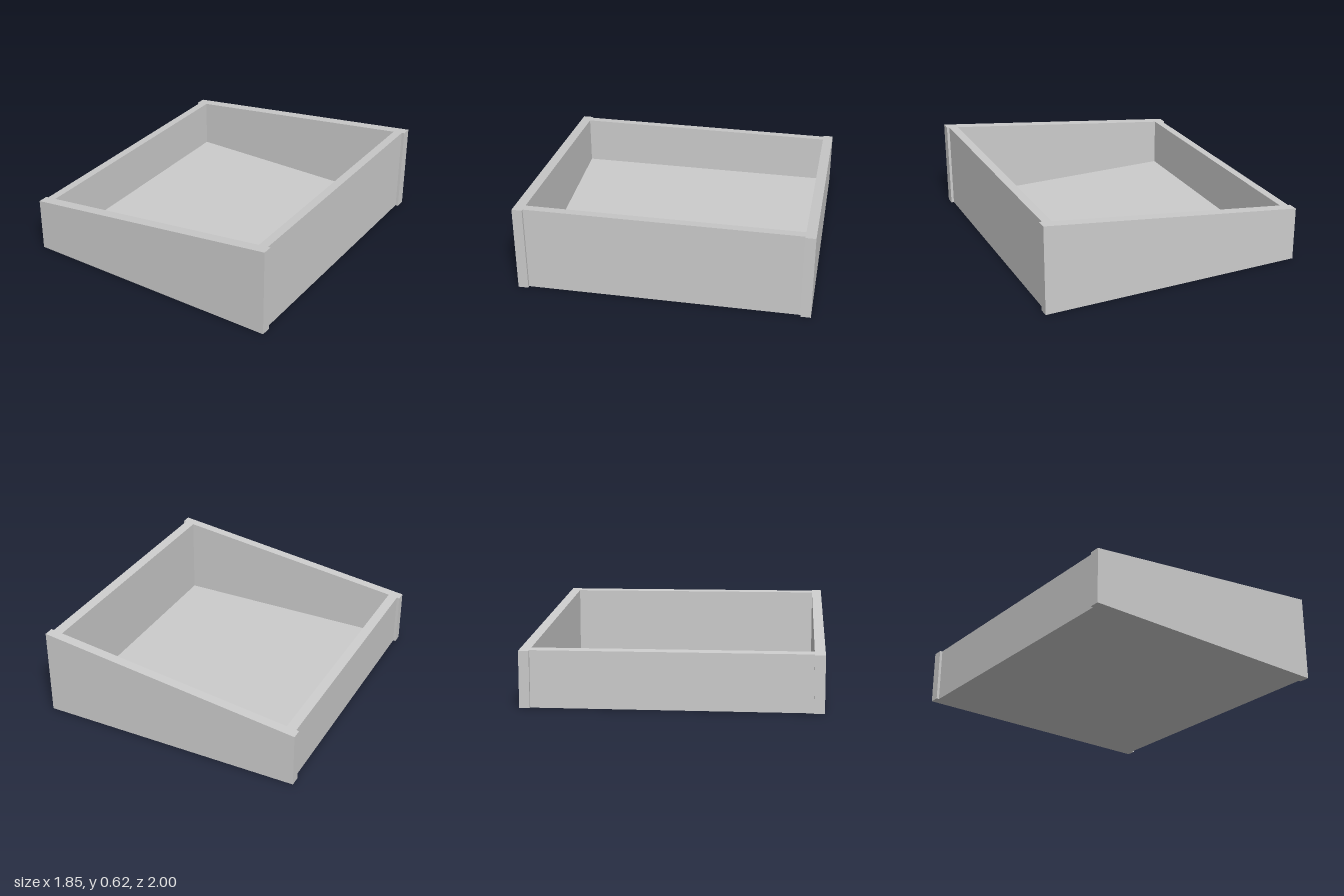
import * as THREE from 'three';

const W = 0.927;          // half width of the end panels
const OUT = 0.908;        // outer face of the side walls
const INN = 0.842;        // inner face of the side walls
const ZIN = 0.93;         // inner face of the end panels
const slope = x => 0.5 + 0.1285 * x;

export function createModel() {
  const group = new THREE.Group();
  const material = new THREE.MeshStandardMaterial({ color: 0xcccccc, flatShading: true });

  // Board with a sloping top edge, from x0 to x1 and z0 to z1
  const slopedBoard = (name, x0, x1, z0, z1) => {
    const shape = new THREE.Shape([
      new THREE.Vector2(x0, 0), new THREE.Vector2(x1, 0),
      new THREE.Vector2(x1, slope(x1)), new THREE.Vector2(x0, slope(x0)),
    ]);
    const geometry = new THREE.ExtrudeGeometry(shape, { depth: z1 - z0, bevelEnabled: false });
    geometry.translate(0, 0, z0);
    const mesh = new THREE.Mesh(geometry, material);
    mesh.name = name;
    group.add(mesh);
  };

  // Wedge-shaped end panels, overhanging the side walls slightly
  slopedBoard('frontPanel', -W, W, ZIN, 1);
  slopedBoard('backPanel', -W, W, -1, -ZIN);

  // Low and high side walls between the end panels
  slopedBoard('lowSideWall', -OUT, -INN, -ZIN, ZIN);
  slopedBoard('highSideWall', INN, OUT, -ZIN, ZIN);

  // Floor board, flush with the underside
  const floor = new THREE.Mesh(new THREE.BoxGeometry(2 * INN, 0.042, 2 * ZIN), material);
  floor.position.y = 0.021;
  floor.name = 'floor';
  group.add(floor);

  return group;
}
